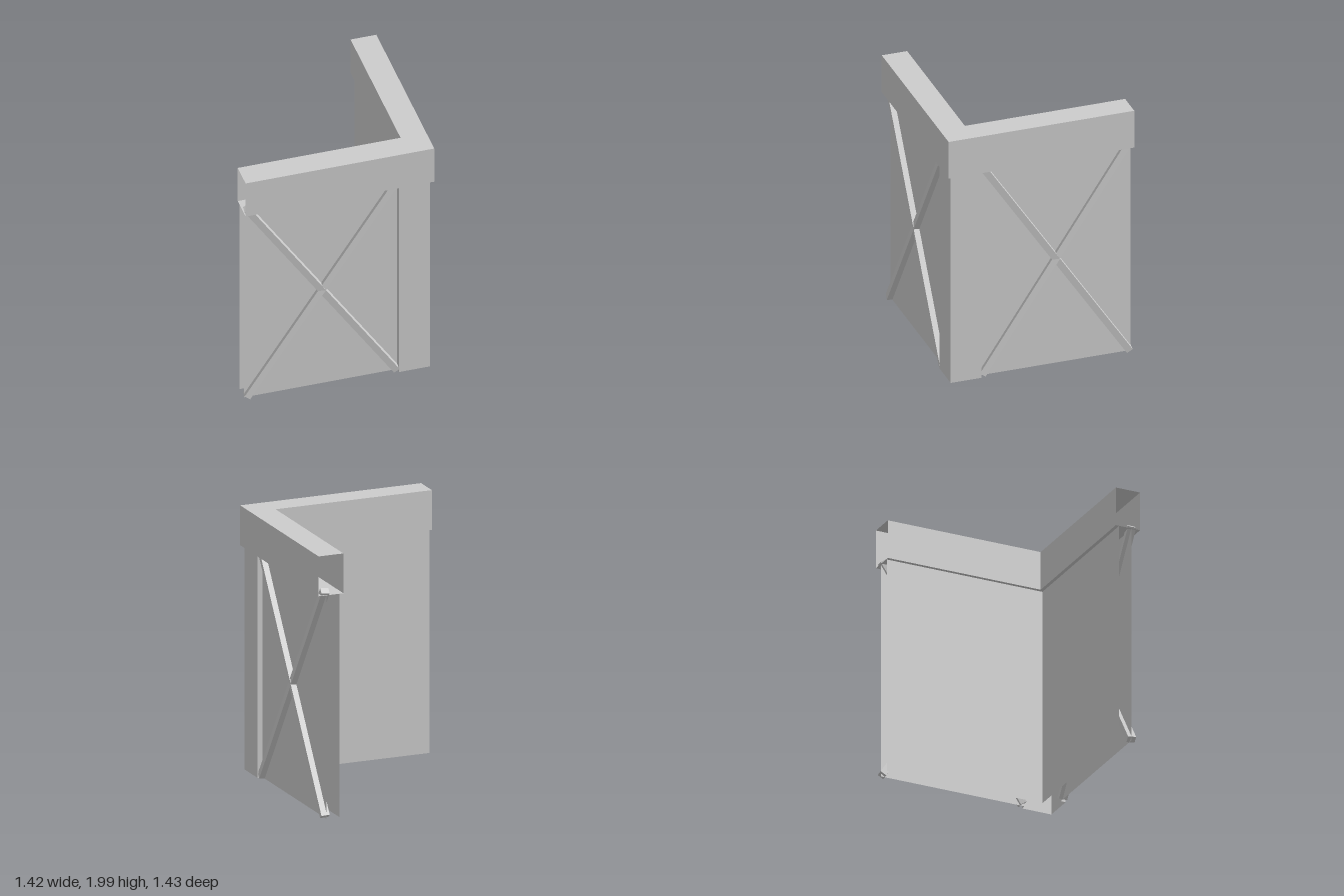
import * as THREE from 'three';

const material = new THREE.MeshStandardMaterial({
  color: 0xcccccc, flatShading: true, side: THREE.DoubleSide,
});

function add(parent, name, geometry) {
  const mesh = new THREE.Mesh(geometry, material);
  mesh.name = name;
  parent.add(mesh);
  return mesh;
}

// Upright sheet following a plan path of [x, z] points
function wall(path, y0, y1) {
  const pos = [];
  for (let i = 0; i < path.length - 1; i++) {
    const [ax, az] = path[i], [bx, bz] = path[i + 1];
    pos.push(ax, y0, az, bx, y0, bz, bx, y1, bz);
    pos.push(ax, y0, az, bx, y1, bz, ax, y1, az);
  }
  const g = new THREE.BufferGeometry();
  g.setAttribute('position', new THREE.Float32BufferAttribute(pos, 3));
  g.computeVertexNormals();
  return g;
}

// Flat horizontal sheet with a plan outline of [x, z] points
function slab(outline, y) {
  const shape = new THREE.Shape(outline.map(([x, z]) => new THREE.Vector2(x, -z)));
  return new THREE.ShapeGeometry(shape).rotateX(-Math.PI / 2).translate(0, y, 0);
}

export function createModel() {
  const model = new THREE.Group();
  model.name = 'cornerCounter';

  // Counter top: L-shaped hollow box, open at both ends
  const OUT = 0.715, IN = 0.52, END = -0.71, Y0 = 1.7, Y1 = 2;
  const outer = [[END, OUT], [OUT, OUT], [OUT, END]];
  const inner = [[IN, END], [IN, IN], [END, IN]];
  const counter = new THREE.Group();
  counter.name = 'counterTop';
  model.add(counter);
  add(counter, 'counterOuterWall', wall(outer, Y0, Y1));
  add(counter, 'counterInnerWall', wall(inner, Y0, Y1));
  add(counter, 'counterSurface', slab([...outer, ...inner], Y1));
  add(counter, 'counterUnderside', slab([...outer, ...inner], Y0));

  // Body: outer panels with a raised corner post, and plain inner panels
  const face = 0.65, post = 0.69, edge = 0.455, back = 0.547, end = -0.703;
  add(model, 'outerPanels', wall([
    [end, face], [edge, face], [edge, post], [post, post],
    [post, edge], [face, edge], [face, end],
  ], 0.015, Y0));
  add(model, 'innerPanels', wall([[end, back], [back, back], [back, end]], 0.015, Y0));

  // Crossed battens on each outer side, slightly twisted about their length
  const lean = Math.atan2(0.565, 0.85);
  const battenGeometry = new THREE.BoxGeometry(0.05, 2.04, 0.062);
  for (const [name, turn, shift] of [['front', 0, -0.12], ['side', Math.PI / 2, 0.125]]) {
    const cross = new THREE.Group();
    cross.name = name + 'CrossBrace';
    cross.rotation.y = turn;
    for (const s of [-1, 1]) {
      const batten = add(cross, s < 0 ? 'risingBatten' : 'fallingBatten', battenGeometry);
      batten.rotation.set(0, -0.14, s * lean, 'ZXY');
      batten.position.set(shift, 0.88, 0.657);
    }
    model.add(cross);
  }
  return model;
}
